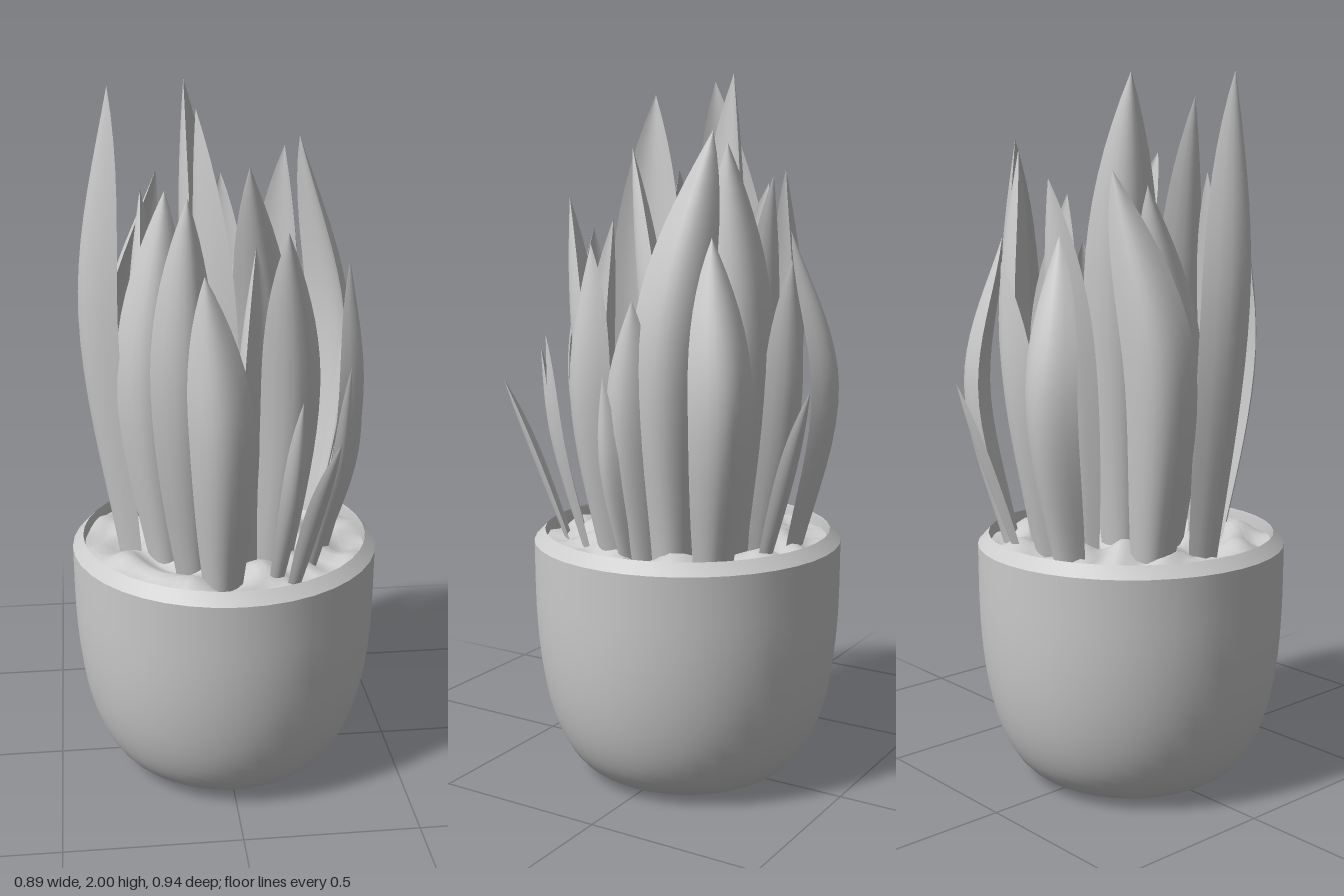
import * as THREE from 'three';
import { toCreasedNormals } from 'three/addons/utils/BufferGeometryUtils.js';

const material = new THREE.MeshStandardMaterial({ color: 0xcccccc, side: THREE.DoubleSide });
const SOIL_Y = 0.69;
const RADIANS = Math.PI / 180;

// Tall leaves: belly x, z | tip x, y, z | optional direction (degrees) the outer side faces
const LEAVES = [
  [-0.1, -0.4, -0.05, 1.57, -0.3],
  [-0.31, -0.18, -0.17, 1.74, -0.22, 222],
  [-0.24, -0.05, -0.22, 1.7, -0.14, 200],
  [-0.37, 0.04, -0.31, 2, 0.09, 165],
  [-0.22, 0.17, -0.17, 1.74, 0.13, 100],
  [-0.12, 0.28, -0.12, 1.74, 0.25, 70],
  [0.03, 0.26, 0.06, 1.6, 0.21, 215],
  [-0.05, 0.41, -0.09, 1.57, 0.38],
  [0.13, 0.04, 0.05, 1.8, 0.15, 65],
  [0.17, 0.24, 0.13, 1.66, 0.31, 70],
  [0.35, 0.12, 0.33, 1.54, 0.1],
  [0.36, -0.02, 0.38, 1.4, -0.06],
  [0.35, -0.15, 0.24, 1.83, -0.22],
  [0.34, -0.31, 0.28, 1.56, -0.24],
  [0.2, -0.28, 0.2, 1.8, -0.24, -40],
  [0.11, -0.16, 0.11, 1.68, -0.14, 80],
  [0, -0.25, 0.02, 1.72, -0.28],
  [0.07, -0.36, 0.1, 1.5, -0.38],
  [-0.08, -0.09, -0.1, 2, -0.09, 205],
  [-0.06, 0.16, -0.09, 1.95, 0.16, 165],
];

// Short outer shoots: direction (degrees), tip radius, tip height
const SHOOTS = [[62, 0.53, 1.15], [68, 0.43, 1.24], [41, 0.41, 1.29], [-69, 0.51, 1.17], [4, 0.39, 1.2]];

// Blade with a crescent cross-section, swept along a curved spine
function leafGeometry(bx, bz, tx, ty, tz, width, angle) {
  const nx = Math.cos(angle), nz = Math.sin(angle);
  const baseY = SOIL_Y - 0.06;
  const spine = new THREE.CatmullRomCurve3([
    new THREE.Vector3(bx * 0.76, baseY, bz * 0.76),
    new THREE.Vector3(bx, baseY + (ty - baseY) * 0.55, bz),
    new THREE.Vector3(tx, ty, tz),
  ]);
  const rows = 18, cols = 8, positions = [], index = [];
  for (const side of [0, 1]) {
    const bulge = side ? 0.16 : 0.34;
    const start = positions.length / 3;
    for (let i = 0; i <= rows; i++) {
      const t = i / rows, p = spine.getPoint(t);
      // narrow foot, full middle, pointed tip
      const w = width * (t < 0.5
        ? 0.55 + 0.45 * Math.sin(t * Math.PI)
        : 1 - Math.pow((t - 0.5) * 2, 2.1));
      for (let j = 0; j <= cols; j++) {
        const s = j / cols * 2 - 1;
        const across = s * w / 2, out = w * (bulge * (1 - s * s) - 0.2);
        positions.push(p.x + nx * out - nz * across, p.y, p.z + nz * out + nx * across);
      }
    }
    for (let i = 0; i < rows; i++) {
      for (let j = 0; j < cols; j++) {
        const a = start + i * (cols + 1) + j, b = a + 1, c = a + cols + 1, d = c + 1;
        if (side) index.push(a, b, c, b, d, c);
        else index.push(a, c, b, b, c, d);
      }
    }
  }
  const geometry = new THREE.BufferGeometry();
  geometry.setAttribute('position', new THREE.Float32BufferAttribute(positions, 3));
  geometry.setIndex(index);
  geometry.computeVertexNormals();
  return geometry;
}

// Taller leaves are wider
function tallLeaf([bx, bz, tx, ty, tz, facing]) {
  const angle = facing === undefined ? Math.atan2(bz, bx) : facing * RADIANS;
  return leafGeometry(bx, bz, tx, ty, tz, ty * 0.11, angle);
}

function shoot([degrees, tipRadius, height]) {
  const angle = degrees * RADIANS, x = Math.cos(angle), z = Math.sin(angle);
  const belly = 0.2 + 0.45 * tipRadius;
  return leafGeometry(x * belly, z * belly, x * tipRadius, height, z * tipRadius, 0.07, angle);
}

// Round-bottomed pot with a chamfered rim and an inner wall
function potGeometry() {
  const wall = new THREE.CubicBezierCurve(
    new THREE.Vector2(0.24, 0.003), new THREE.Vector2(0.35, 0.02),
    new THREE.Vector2(0.438, 0.17), new THREE.Vector2(0.442, 0.55));
  const profile = [
    new THREE.Vector2(0, 0),
    new THREE.Vector2(0.24, 0),
    ...wall.getPoints(18),
    new THREE.Vector2(0.443, 0.69),
    new THREE.Vector2(0.412, 0.722),
    new THREE.Vector2(0.41, 0.715),
    new THREE.Vector2(0.408, 0.62),
  ];
  return toCreasedNormals(new THREE.LatheGeometry(profile, 40), 0.5);
}

// Lumpy disc of soil, lower at its edge
function soilGeometry() {
  const radius = 0.41;
  const geometry = new THREE.RingGeometry(0.001, radius, 64, 20);
  geometry.rotateX(-Math.PI / 2);
  const p = geometry.attributes.position;
  for (let i = 0; i < p.count; i++) {
    const x = p.getX(i), z = p.getZ(i), r = Math.hypot(x, z) / radius;
    const lumps = Math.sin(x * 29 + Math.sin(z * 15)) * Math.sin(z * 27 + Math.sin(x * 17));
    p.setY(i, SOIL_Y + 0.02 - 0.025 * r ** 4 + 0.03 * lumps * (1 - 0.6 * r ** 6));
  }
  geometry.computeVertexNormals();
  return geometry;
}

export function createModel() {
  const model = new THREE.Group();
  model.name = 'pottedPlant';
  const leaves = new THREE.Group();
  leaves.name = 'leaves';
  model.add(leaves);

  const add = (parent, name, geometry) => {
    const mesh = new THREE.Mesh(geometry, material);
    mesh.name = name;
    parent.add(mesh);
  };
  add(model, 'pot', potGeometry());
  add(model, 'soil', soilGeometry());
  LEAVES.forEach((leaf, i) => add(leaves, `leaf${i + 1}`, tallLeaf(leaf)));
  SHOOTS.forEach((leaf, i) => add(leaves, `shoot${i + 1}`, shoot(leaf)));
  return model;
}
